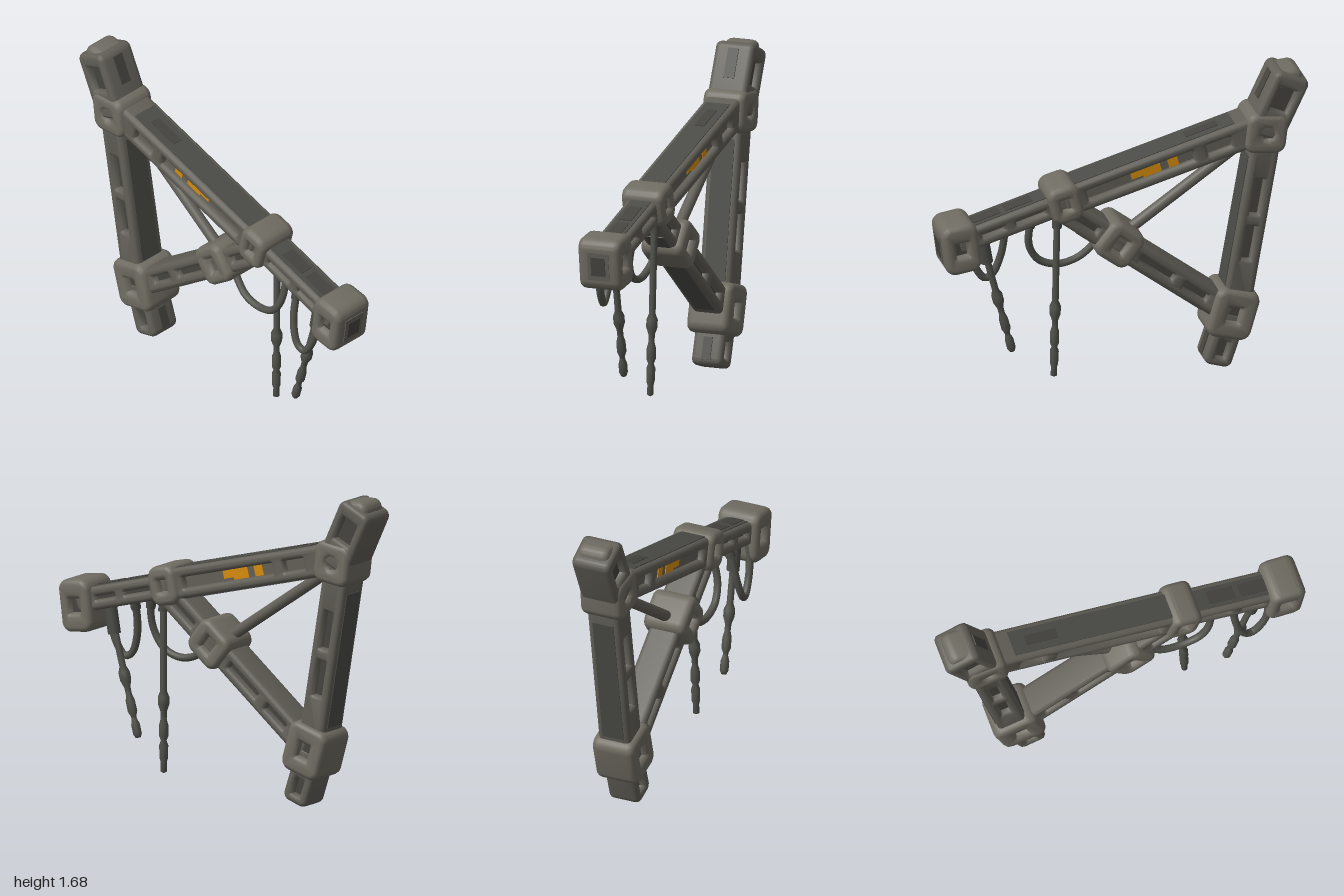
import * as THREE from 'three';
import { toCreasedNormals } from 'three/addons/utils/BufferGeometryUtils.js';

export function createModel() {
  const model = new THREE.Group();
  model.name = 'trussArm';

  const mat = (name, color) => {
    const m = new THREE.MeshStandardMaterial({ color });
    m.name = name;
    return m;
  };
  const jointGrey = mat('jointGrey', 0x6f6c62);
  const beamGrey = mat('beamGrey', 0x615f57);
  const darkGrey = mat('darkGrey', 0x4b4b47);
  const recessGrey = mat('recessGrey', 0x45443f);
  const cableGrey = mat('cableGrey', 0x53534d);
  const orange = mat('orangePaint', 0xd68c0c);

  const add = (parent, name, geometry, material, x = 0, y = 0, z = 0) => {
    const mesh = new THREE.Mesh(geometry, material);
    mesh.name = name;
    mesh.position.set(x, y, z);
    parent.add(mesh);
    return mesh;
  };

  // Rounded rectangle drawn into a Shape or Path
  const roundedRect = (path, cx, cy, w, h, r) => {
    const x = w / 2, y = h / 2;
    path.absarc(cx + x - r, cy + y - r, r, 0, Math.PI / 2);
    path.absarc(cx - x + r, cy + y - r, r, Math.PI / 2, Math.PI);
    path.absarc(cx - x + r, cy - y + r, r, Math.PI, Math.PI * 1.5);
    path.absarc(cx + x - r, cy - y + r, r, Math.PI * 1.5, Math.PI * 2);
    path.closePath();
    return path;
  };

  // Bevelled block with recessed windows in its front and back
  const block = (group, w, h, d, bevel, radius, holes, material, coreMaterial) => {
    const shape = roundedRect(new THREE.Shape(), 0, 0, w - 2 * bevel, h - 2 * bevel, radius);
    shape.holes.push(...holes);
    const depth = d - 2 * bevel * 1.3;
    const geo = new THREE.ExtrudeGeometry(shape, {
      depth, bevelSize: bevel, bevelThickness: bevel * 1.3, bevelSegments: 3, curveSegments: 5,
    });
    geo.translate(0, 0, -depth / 2);
    add(group, 'shell', toCreasedNormals(geo, 0.7), material);
    add(group, 'recess', new THREE.BoxGeometry(w - 0.05, h - 0.03, d - 0.07), coreMaterial);
  };

  // Beam between two points; windows are [start, end] distances along it
  const beam = (name, x0, y0, x1, y1, w, d, windows, core = recessGrey) => {
    const group = new THREE.Group();
    group.name = name;
    const length = Math.hypot(x1 - x0, y1 - y0);
    group.position.set((x0 + x1) / 2, (y0 + y1) / 2, 0);
    group.rotation.z = Math.atan2(y1 - y0, x1 - x0);
    const holes = windows.map(([a, b]) =>
      roundedRect(new THREE.Path(), (a + b) / 2 - length / 2, 0, b - a, w - 0.068, 0.022));
    block(group, length, w, d, 0.02, 0.02, holes, beamGrey, core);
    model.add(group);
    return { group, length };
  };

  // Thin plate lying on the upper (1) or lower (-1) edge of a beam
  const edgePlate = ({ group, length }, name, side, w, a, b, depth, material) =>
    add(group, name, new THREE.BoxGeometry(b - a, 0.008, depth), material, (a + b) / 2 - length / 2, side * w / 2, 0);

  // Main beams
  const top = beam('topBeam', -0.76, 1.375, 0.32, 1.085, 0.165, 0.19, [[0.17, 0.34], [0.38, 1.01]], beamGrey);
  edgePlate(top, 'topSkin', 1, 0.165, 0.14, 1.06, 0.135, darkGrey);
  edgePlate(top, 'topSlot', 1, 0.172, 0.22, 0.4, 0.055, recessGrey);
  edgePlate(top, 'underSkin', -1, 0.165, 0.14, 1.06, 0.13, darkGrey);

  const boom = beam('boomBeam', 0.3, 1.085, 0.9, 0.92, 0.125, 0.17, [[0.11, 0.31], [0.34, 0.5]]);
  edgePlate(boom, 'boomSkin', 1, 0.125, 0.1, 0.52, 0.115, darkGrey);
  for (const a of [0.17, 0.35]) edgePlate(boom, 'boomSlot', 1, 0.132, a, a + 0.15, 0.07, recessGrey);

  const mast = beam('mastBeam', -0.785, 1.36, -0.61, 0.35, 0.155, 0.18, [[0.26, 0.5], [0.53, 0.76]]);
  for (const side of [-1, 1]) edgePlate(mast, 'mastSkin', side, 0.155, 0.16, 0.9, 0.12, darkGrey);

  const brace = beam('diagonalBrace', -0.58, 0.33, 0.33, 1.05, 0.14, 0.17, [[0.15, 0.34], [0.38, 0.64], [0.9, 1.1]]);
  edgePlate(brace, 'braceSkin', -1, 0.14, 0.14, 1.0, 0.11, darkGrey);

  // End stubs of the mast
  const upper = beam('upperStub', -0.76, 1.33, -0.918, 1.665, 0.2, 0.215, [[0.14, 0.31]]);
  edgePlate(upper, 'stubSlot', -1, 0.202, 0.17, 0.33, 0.06, recessGrey);
  const cap = new THREE.Group();
  cap.name = 'stubCap';
  cap.position.set(-0.892, 1.64, 0);
  cap.rotation.z = -0.06;
  block(cap, 0.155, 0.11, 0.17, 0.025, 0.025, [], jointGrey, beamGrey);
  model.add(cap);
  const lower = beam('lowerStub', -0.6, 0.33, -0.503, 0.035, 0.155, 0.17, [[0.15, 0.28]]);
  edgePlate(lower, 'stubSlot', 1, 0.157, 0.16, 0.28, 0.05, recessGrey);

  // Orange paint patches, front and back: [centre x, width, height, lift]
  for (const side of [-1, 1]) {
    for (const [x, w, h, lift] of [[-0.27, 0.055, 0.07, 0.002], [-0.155, 0.1, 0.066, 0], [-0.08, 0.075, 0.042, 0.006]]) {
      const y = 1.375 - (x + 0.76) * 0.2685 + lift;
      const patch = add(model, 'orangePatch', new THREE.BoxGeometry(w, h, 0.006), orange, x, y, side * 0.0615);
      patch.rotation.z = -0.262;
    }
  }

  // Thin round strut
  const rod = (name, a, b, r, material) => {
    const p = new THREE.Vector3(...a), q = new THREE.Vector3(...b);
    const dir = q.clone().sub(p);
    const mesh = add(model, name, new THREE.CylinderGeometry(r, r, dir.length(), 14), material);
    mesh.position.copy(p).lerp(q, 0.5);
    mesh.quaternion.setFromUnitVectors(new THREE.Vector3(0, 1, 0), dir.normalize());
  };
  rod('thinStrut', [-0.7, 1.3, 0], [0, 0.82, 0], 0.03, beamGrey);

  // Joint blocks: name, x, y, width, height, tilt, window size
  const joints = [
    ['upperJoint', -0.768, 1.352, 0.225, 0.225, 0.12, 0],
    ['lowerJoint', -0.588, 0.33, 0.245, 0.275, 0.28, 0.13],
    ['middleJoint', 0.025, 0.815, 0.225, 0.215, 0.67, 0.125],
    ['topJoint', 0.318, 1.088, 0.175, 0.21, -0.24, 0.11],
    ['endJoint', 0.882, 0.905, 0.195, 0.28, -0.13, 0.125],
  ];
  for (const [name, x, y, w, h, tilt, win] of joints) {
    const group = new THREE.Group();
    group.name = name;
    group.position.set(x, y, 0);
    group.rotation.z = tilt;
    const hole = win
      ? roundedRect(new THREE.Path(), 0, 0, win * 0.88, win, 0.026)
      : new THREE.Path().absarc(0, 0, 0.06, 0, Math.PI * 2);
    block(group, w, h, 0.235, 0.026, 0.03, [hole], jointGrey, recessGrey);
    model.add(group);
    // Window on the outer end of the boom
    if (name === 'endJoint') {
      add(group, 'endFrame', new THREE.BoxGeometry(0.008, 0.15, 0.12), beamGrey, w / 2, 0, 0);
      add(group, 'endWindow', new THREE.BoxGeometry(0.008, 0.1, 0.08), recessGrey, w / 2 + 0.003, 0, 0);
    }
  }

  // Hanging loops of cable
  const loop = (name, r, points) => {
    const curve = new THREE.CatmullRomCurve3(points.map((p) => new THREE.Vector3(...p)));
    add(model, name, new THREE.TubeGeometry(curve, 40, r, 10), cableGrey);
  };
  loop('innerCableLoop', 0.02, [[0.1, 0.82, 0.03], [0.15, 0.755, 0.04], [0.22, 0.7, 0.05], [0.32, 0.68, 0.05],
    [0.42, 0.715, 0.05], [0.475, 0.8, 0.04], [0.485, 0.9, 0.02], [0.46, 1.02, 0]]);
  loop('outerCableLoop', 0.02, [[0.605, 0.97, 0.03], [0.605, 0.88, 0.06], [0.62, 0.75, 0.085], [0.66, 0.65, 0.095],
    [0.7, 0.63, 0.09], [0.75, 0.69, 0.085], [0.78, 0.78, 0.08], [0.8, 0.9, 0.06]]);

  // Hanging cable with swollen connectors: profile is [radius, distance from the top]
  const dangling = (name, from, to, profile) => {
    const p = new THREE.Vector3(...from), dir = new THREE.Vector3(...to).sub(p).normalize();
    const geo = new THREE.LatheGeometry(profile.map(([r, t]) => new THREE.Vector2(r, -t)).reverse(), 12);
    const mesh = add(model, name, geo, cableGrey);
    mesh.position.copy(p);
    mesh.quaternion.setFromUnitVectors(new THREE.Vector3(0, -1, 0), dir);
  };
  const connector = (t) => [[0.018, 0], [0.018, t], [0.03, t + 0.03], [0.03, t + 0.07], [0.017, t + 0.11],
    [0.016, t + 0.15], [0.024, t + 0.18], [0.025, t + 0.24], [0.015, t + 0.265]];
  dangling('longCable', [0.352, 1.03, -0.05], [0.365, 0.07, -0.03],
    [...connector(0.52), [0.024, 0.81], [0.022, 0.88], [0.016, 0.9], [0.017, 0.95], [0, 0.96]]);
  dangling('shortCable', [0.735, 0.86, 0.015], [0.572, 0.22, 0.03],
    [...connector(0.28), [0.014, 0.56], [0.023, 0.59], [0.023, 0.64], [0.014, 0.66], [0, 0.66]]);

  // Cable sockets
  rod('cableSocket', [0.745, 0.93, 0.015], [0.715, 0.76, 0.015], 0.034, darkGrey);
  rod('cableSocket', [0.352, 1.02, -0.05], [0.354, 0.94, -0.05], 0.026, darkGrey);
  rod('cableSocket', [0.606, 0.98, 0.035], [0.605, 0.9, 0.055], 0.027, darkGrey);
  rod('cableSocket', [0.465, 1.01, 0.005], [0.482, 0.93, 0.015], 0.026, darkGrey);

  return model;
}
